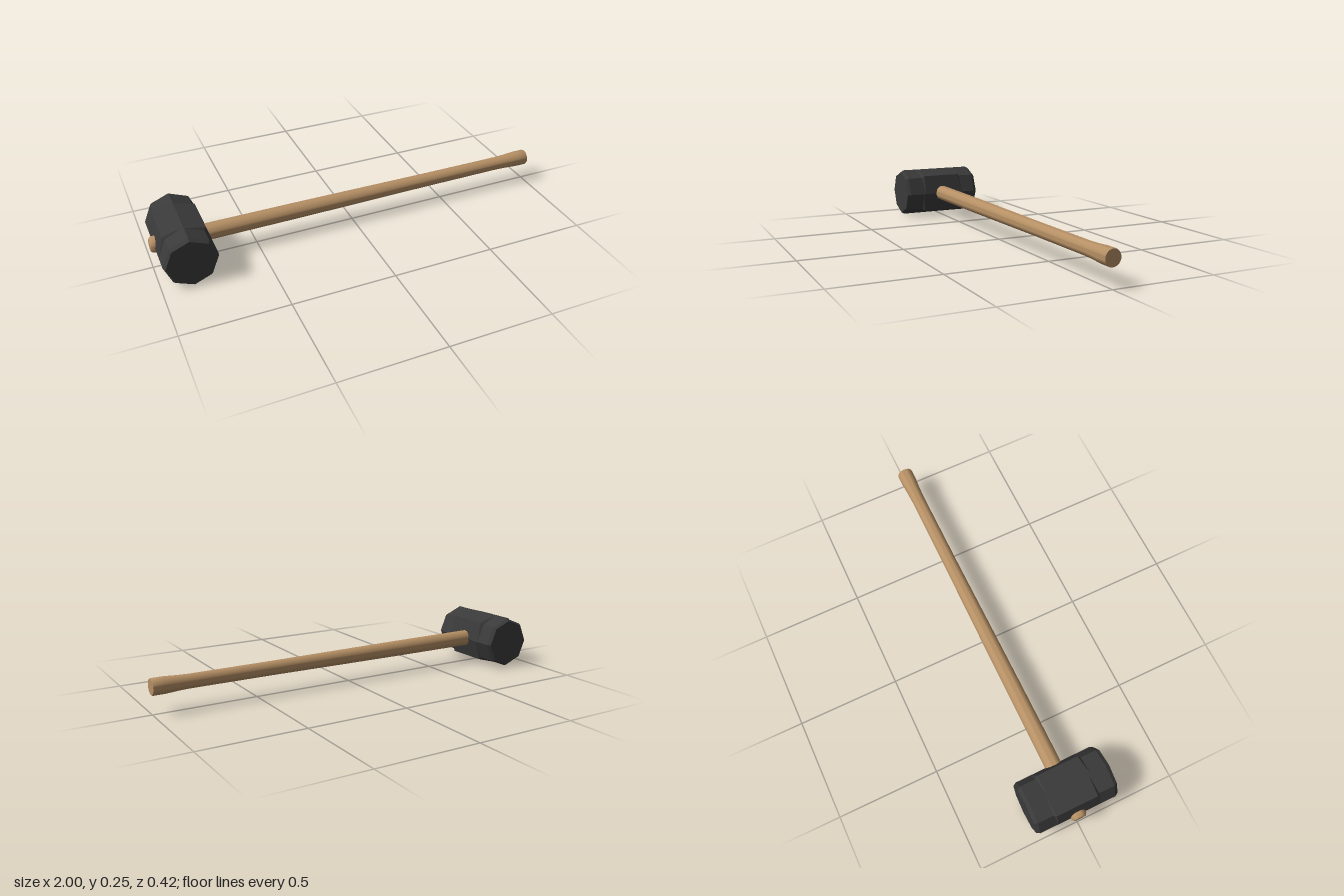
import * as THREE from 'three';
import { toCreasedNormals } from 'three/addons/utils/BufferGeometryUtils.js';

const AXIS_Y = 0.128;   // height of the handle axis
const HEAD_X = -0.855;  // centre of the head

// Skin octagonal rings along z. Each ring: [z, radius of upright corners, radius of diagonal corners]
function octagonLoft(rings) {
  const corner = ([z, upright, diagonal], k) => {
    const r = k % 2 ? diagonal : upright;
    const a = (k * Math.PI) / 4;
    return [r * Math.cos(a), r * Math.sin(a), z];
  };
  const pos = [];
  const tri = (...pts) => pts.forEach((p) => pos.push(...p));
  const first = rings[0];
  const last = rings[rings.length - 1];
  for (let k = 0; k < 8; k++) {
    for (let i = 0; i < rings.length - 1; i++) {
      const a = corner(rings[i], k), b = corner(rings[i], k + 1);
      const c = corner(rings[i + 1], k + 1), d = corner(rings[i + 1], k);
      tri(a, b, c);
      tri(a, c, d);
    }
    tri([0, 0, last[0]], corner(last, k), corner(last, k + 1));
    tri([0, 0, first[0]], corner(first, k + 1), corner(first, k));
  }
  const geo = new THREE.BufferGeometry();
  geo.setAttribute('position', new THREE.Float32BufferAttribute(pos, 3));
  geo.computeVertexNormals();
  return geo;
}

export function createModel() {
  const group = new THREE.Group();
  const iron = new THREE.MeshStandardMaterial({ color: 0x3a3a3a, flatShading: true });
  const wood = new THREE.MeshStandardMaterial({ color: 0xb58f64 });

  // Head: bevelled striking faces, diagonals swelling around the eye
  const half = [
    [0.103, 0.127, 0.141],
    [0.115, 0.127, 0.127],
    [0.193, 0.127, 0.127],
    [0.21, 0.117, 0.117],
  ];
  const mirrored = half.map(([z, u, d]) => [-z, u, d]).reverse();
  const head = new THREE.Mesh(octagonLoft([...mirrored, ...half]), iron);
  head.name = 'head';
  head.position.set(HEAD_X, AXIS_Y, 0);
  group.add(head);

  // Handle: turned along x, slimming towards a flared grip end
  const profile = [
    [0, -1], [0.03, -1], [0.037, -0.99], [0.039, -0.975], [0.04, -0.7],
    [0.039, -0.3], [0.037, 0], [0.034, 0.4], [0.033, 0.82], [0.035, 0.88],
    [0.039, 0.94], [0.039, 0.995], [0.037, 1], [0, 1],
  ].map(([r, x]) => new THREE.Vector2(r, x));
  const handleGeo = toCreasedNormals(new THREE.LatheGeometry(profile, 32), 0.6);
  const handle = new THREE.Mesh(handleGeo, wood);
  handle.name = 'handle';
  handle.rotation.z = -Math.PI / 2;
  handle.position.y = AXIS_Y;
  group.add(handle);

  return group;
}
